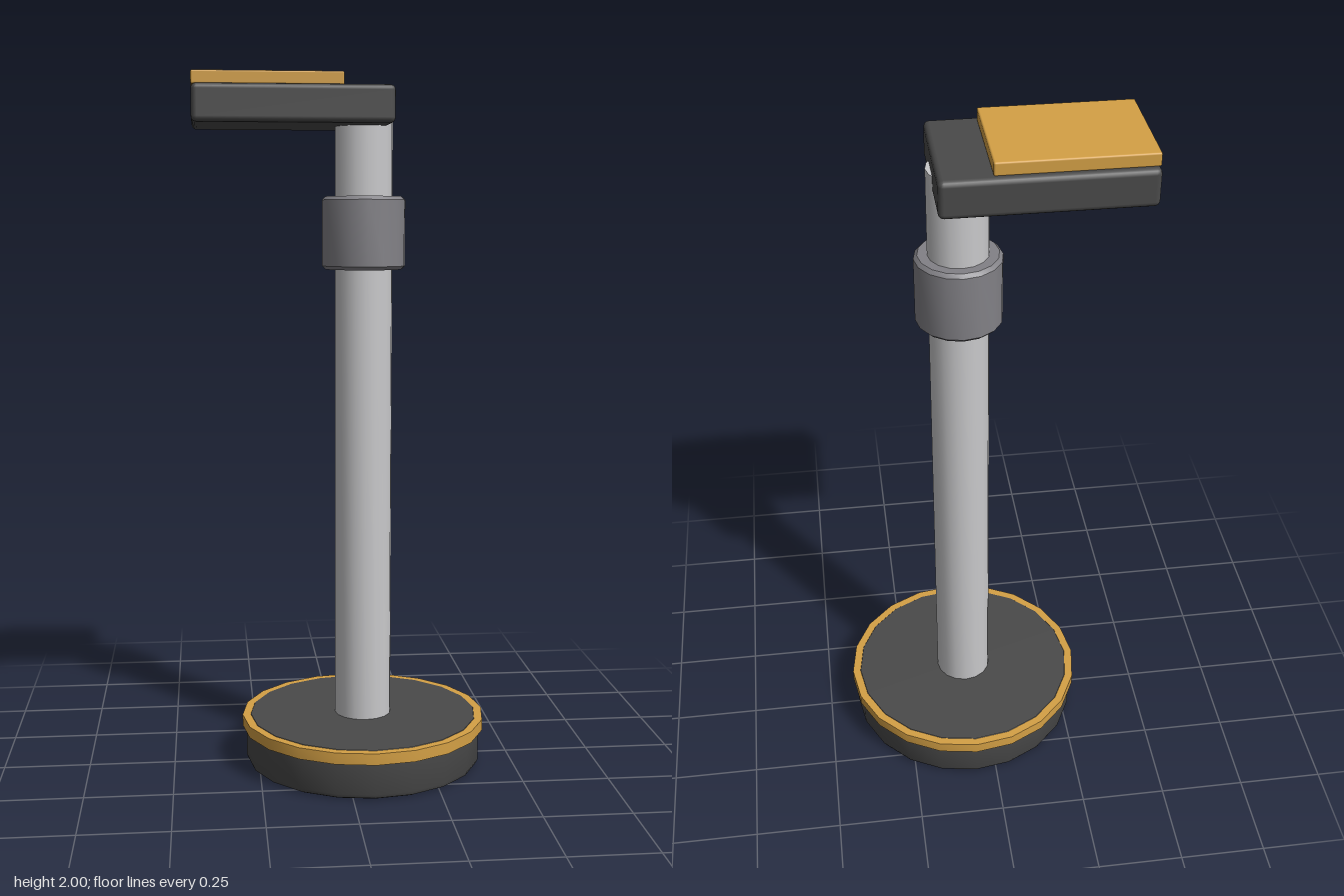
import * as THREE from 'three';
import { toCreasedNormals } from 'three/addons/utils/BufferGeometryUtils.js';
import { RoundedBoxGeometry } from 'three/addons/geometries/RoundedBoxGeometry.js';

const flat = (name, color) => {
  const m = new THREE.MeshStandardMaterial({ color });
  m.name = name;
  return m;
};

export function createModel() {
  const charcoal = flat('charcoal', 0x4a4a4a);
  const gold = flat('gold', 0xd4a045);
  const silver = flat('silver', 0xc9c9cb);
  const grey = flat('grey', 0x828186);

  const group = new THREE.Group();
  group.name = 'stand';
  const axisX = 0.0625; // the post stands off-centre under the head

  const add = (name, geometry, material, x, y) => {
    const mesh = new THREE.Mesh(geometry, material);
    mesh.name = name;
    mesh.position.set(x, y, 0);
    group.add(mesh);
  };
  // Turned part: profile of [radius, height] from bottom to top
  const turned = (name, profile, sides, material) => {
    const points = profile.map(([r, y]) => new THREE.Vector2(r, y));
    add(name, toCreasedNormals(new THREE.LatheGeometry(points, sides), 0.6), material, axisX, 0);
  };
  // Box with softened edges, given by its x and y extents and its depth
  const slab = (name, x0, x1, y0, y1, depth, radius, material) => {
    add(name, new RoundedBoxGeometry(x1 - x0, y1 - y0, depth, 2, radius), material, (x0 + x1) / 2, (y0 + y1) / 2);
  };

  // Foot
  turned('base', [[0, 0], [0.333, 0], [0.343, 0.005], [0.348, 0.016], [0.348, 0.128], [0.335, 0.141], [0, 0.141]], 20, charcoal);
  turned('baseRing', [[0.33, 0.107], [0.36, 0.107], [0.36, 0.14], [0.33, 0.14], [0.33, 0.107]], 20, gold);

  // Post and clamp collar
  turned('post', [[0, 0.13], [0.083, 0.13], [0.083, 1.915], [0, 1.915]], 16, silver);
  turned('collar', [[0, 1.46], [0.11, 1.46], [0.12, 1.47], [0.12, 1.657], [0.11, 1.667], [0, 1.667]], 16, grey);

  // Head plate with its pad
  slab('head', -0.425, 0.131, 1.862, 1.965, 0.366, 0.015, charcoal);
  slab('pad', -0.425, -0.008, 1.963, 2, 0.324, 0.005, gold);

  return group;
}
